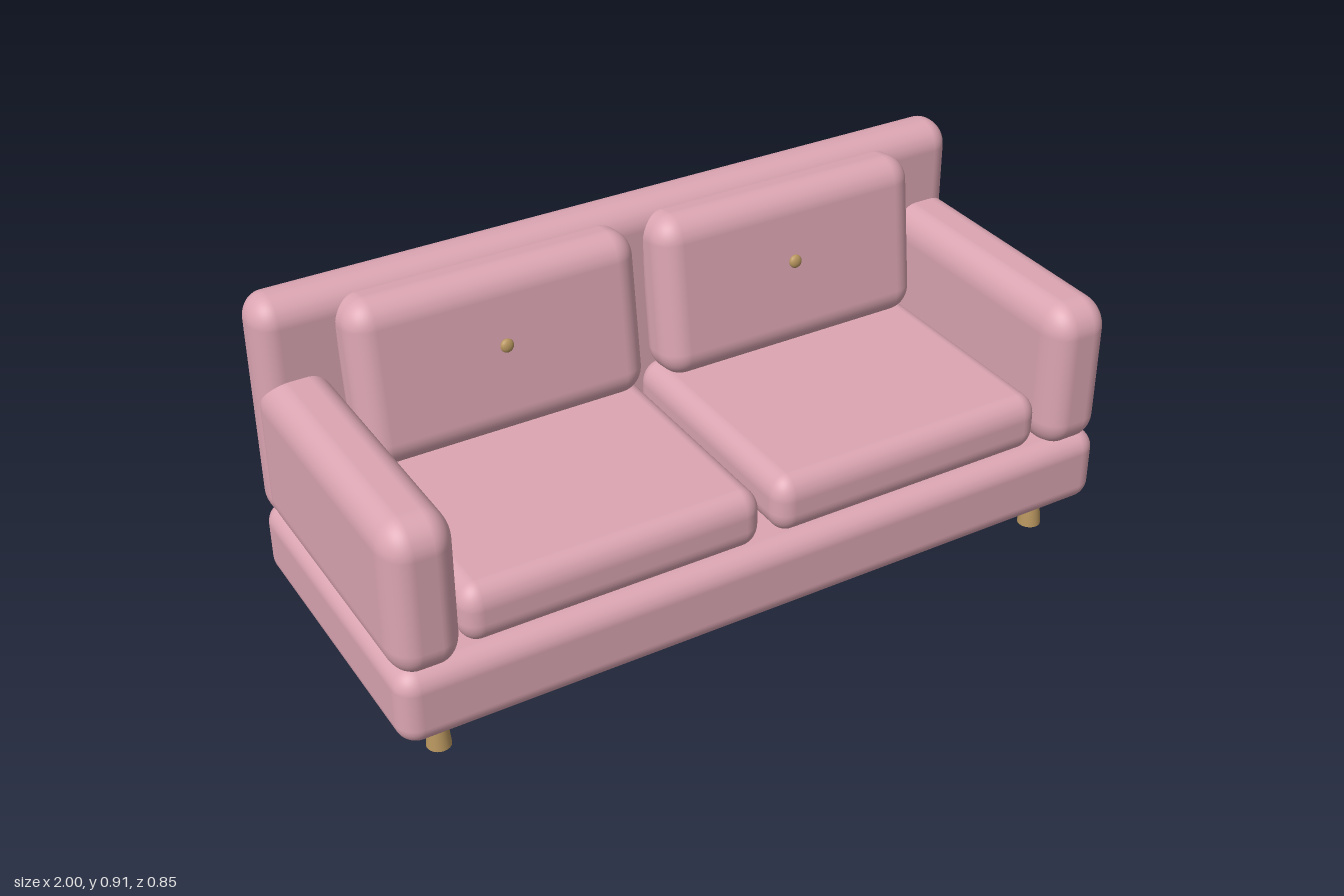
import * as THREE from 'three';
import { RoundedBoxGeometry } from 'three/addons/geometries/RoundedBoxGeometry.js';

// Soft box spanning [min, max] on each axis, with its own edge radius per axis
function softBox(name, material, [x0, x1], [y0, y1], [z0, z1], [rx, ry, rz]) {
  const r = 0.05;
  const sx = rx / r, sy = ry / r, sz = rz / r;
  const geometry = new RoundedBoxGeometry((x1 - x0) / sx, (y1 - y0) / sy, (z1 - z0) / sz, 6, r);
  geometry.scale(sx, sy, sz);
  const mesh = new THREE.Mesh(geometry, material);
  mesh.name = name;
  mesh.position.set((x0 + x1) / 2, (y0 + y1) / 2, (z0 + z1) / 2);
  return mesh;
}

export function createModel() {
  const sofa = new THREE.Group();
  sofa.name = 'sofa';

  const fabric = new THREE.MeshStandardMaterial({ color: 0xdba5b2 });
  fabric.name = 'pink fabric';
  const brass = new THREE.MeshStandardMaterial({ color: 0xb8965f });
  brass.name = 'brass';

  // Base and backrest
  sofa.add(softBox('base', fabric, [-1, 1], [0.096, 0.302], [-0.414, 0.425], [0.053, 0.053, 0.053]));
  sofa.add(softBox('backrest', fabric, [-1, 1], [0.285, 0.905], [-0.424, -0.28], [0.058, 0.068, 0.068]));

  for (const side of [-1, 1]) {
    const sideName = side > 0 ? 'left' : 'right';
    const span = (a, b) => (side > 0 ? [a, b] : [-b, -a]);

    // Armrest
    sofa.add(softBox(sideName + 'Armrest', fabric, span(0.824, 1), [0.28, 0.695], [-0.385, 0.425], [0.063, 0.08, 0.08]));

    // Seat cushion
    sofa.add(softBox(sideName + 'SeatCushion', fabric, span(0.02, 0.817), [0.292, 0.451], [-0.31, 0.39], [0.05, 0.06, 0.05]));

    // Leaning back cushion with its button
    const back = new THREE.Group();
    back.name = sideName + 'BackCushion';
    back.position.set(side * 0.418, 0.664, -0.243);
    back.rotation.x = -0.125;
    back.add(softBox('cushion', fabric, [-0.388, 0.388], [-0.221, 0.221], [-0.08, 0.08], [0.065, 0.07, 0.066]));
    const button = new THREE.Mesh(new THREE.SphereGeometry(0.018, 20, 14), brass);
    button.name = 'button';
    button.scale.z = 0.6;
    button.position.set(0, 0.024, 0.084);
    back.add(button);
    sofa.add(back);

    // Legs, wider at the floor
    for (const z of [0.322, -0.309]) {
      const leg = new THREE.Mesh(new THREE.CylinderGeometry(0.02, 0.031, 0.11, 24), brass);
      leg.name = sideName + (z > 0 ? 'FrontLeg' : 'BackLeg');
      leg.position.set(side * 0.876, 0.055, z);
      sofa.add(leg);
    }
  }
  return sofa;
}
